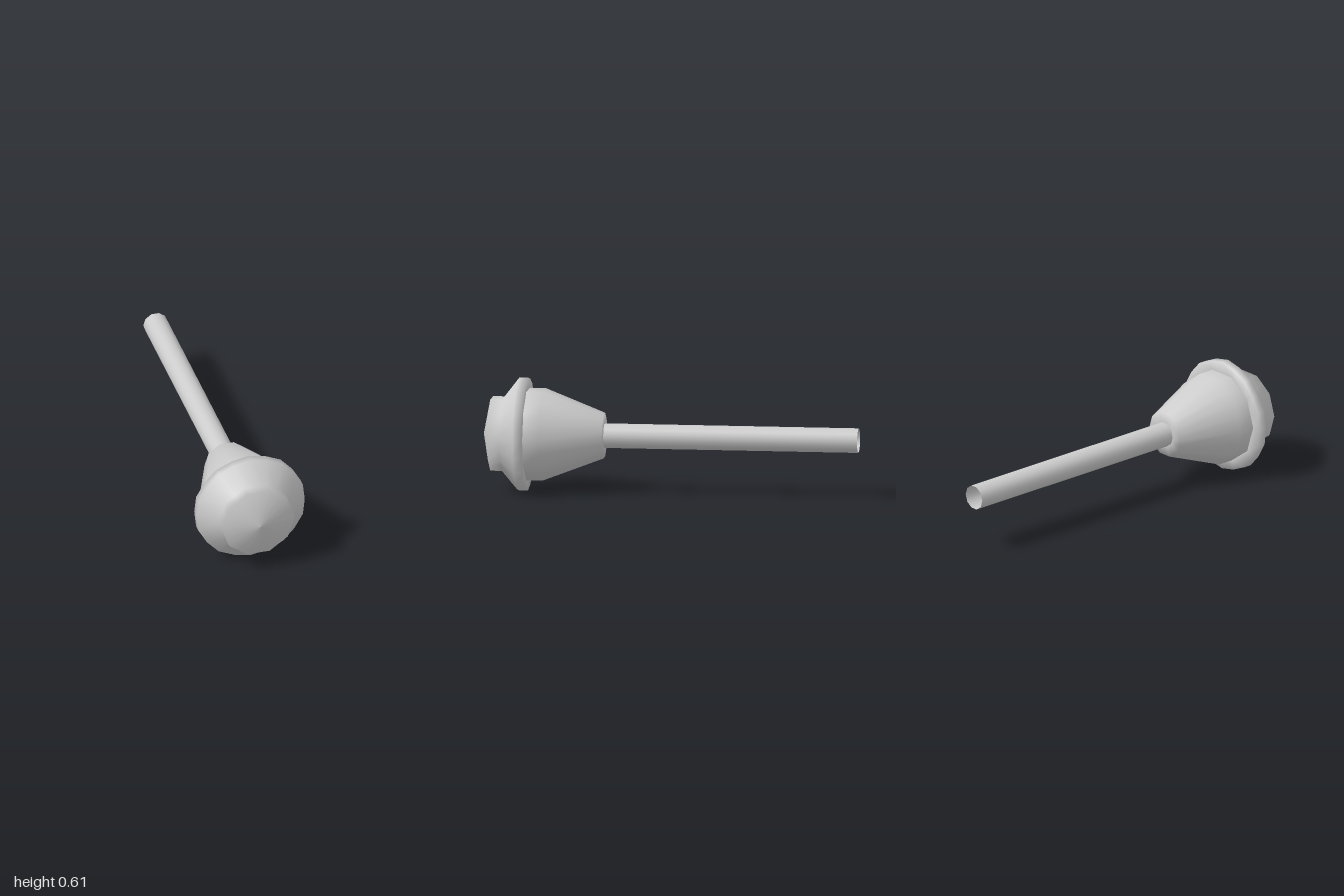
import * as THREE from 'three';

const SIDES = 10;
const CENTRE_Y = 0.3025;

// Ten-sided turned part along z. Each profile entry is [radius, z, cornerRadius?].
// Rings are decagons with a corner on +x; a third value pushes the in-between
// points out to that radius, giving a twenty-sided ring.
function turned(name, profile, material) {
  const geo = new THREE.LatheGeometry(profile.map(([r, z]) => new THREE.Vector2(r, z)), SIDES * 2);
  const pos = geo.attributes.position;
  const n = profile.length;
  for (let i = 0; i < pos.count; i++) {
    if (Math.floor(i / n) % 2) continue;
    const [r, , mid] = profile[i % n];
    if (r === 0) continue;
    const k = (mid ?? r * Math.cos(Math.PI / SIDES)) / r;
    pos.setX(i, pos.getX(i) * k);
    pos.setZ(i, pos.getZ(i) * k);
  }
  geo.rotateX(Math.PI / 2);
  const mesh = new THREE.Mesh(geo, material);
  mesh.name = name;
  mesh.position.y = CENTRE_Y;
  return mesh;
}

export function createModel() {
  const group = new THREE.Group();
  const material = new THREE.MeshStandardMaterial({ color: 0xcccccc, side: THREE.DoubleSide });

  // Hollow rod, open at the back end
  group.add(turned('rod', [[0.066, -1], [0.066, 0.355]], material));

  // Tapered body behind the rim
  group.add(turned('body', [[0.066, 0.355], [0.123, 0.357], [0.248, 0.677], [0.248, 0.764]], material));

  // Flared rim and stepped nose with a shallow point
  group.add(turned('rimAndNose', [
    [0.248, 0.764],
    [0.298, 0.764, 0.3025],
    [0.298, 0.81, 0.3025],
    [0.2, 0.896],
    [0.2, 0.958],
    [0, 1],
  ], material));

  return group;
}
